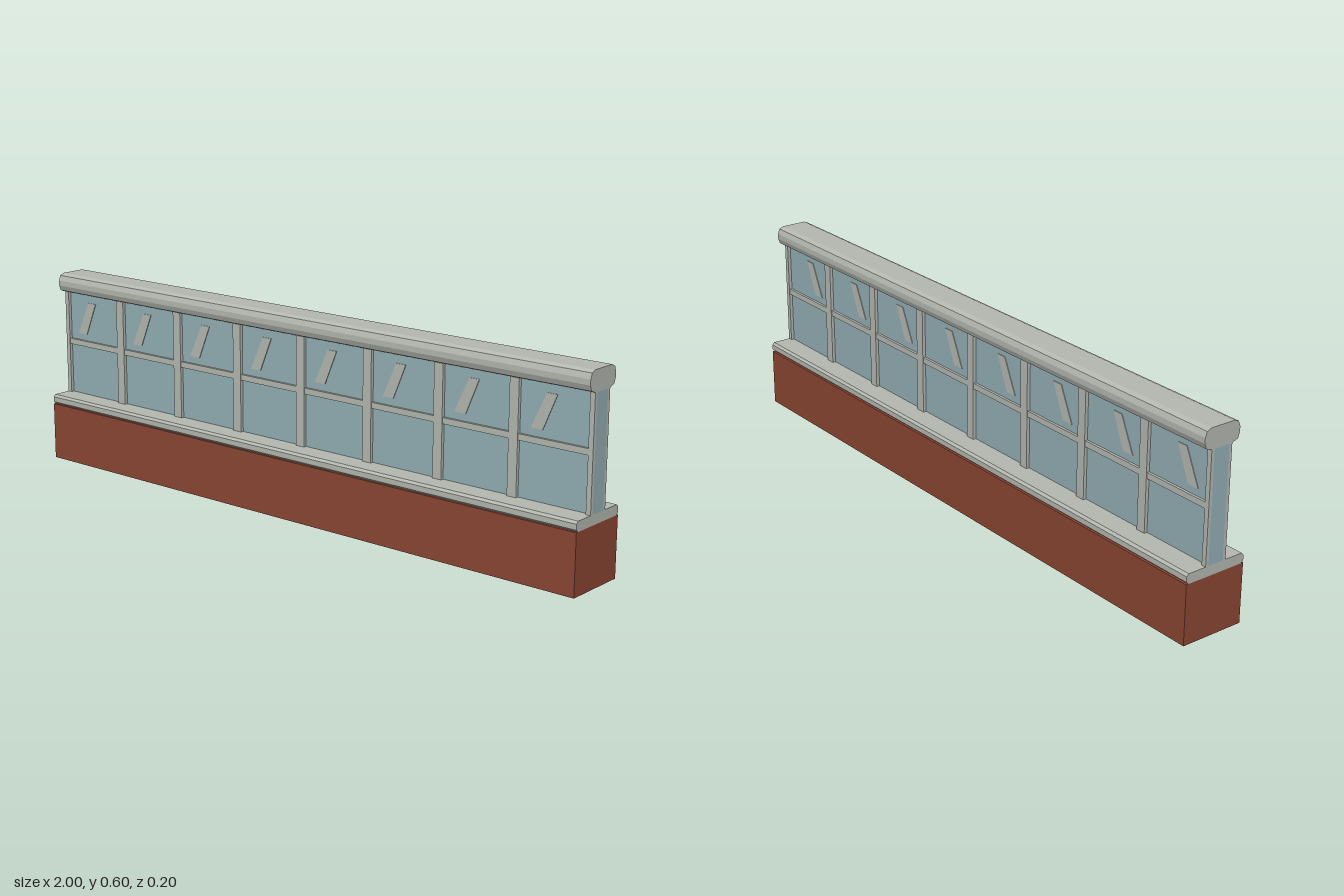
import * as THREE from 'three';

const brick = new THREE.MeshStandardMaterial({ name: 'brick red', color: 0x8a4633 });
const frame = new THREE.MeshStandardMaterial({ name: 'frame grey', color: 0xb4b8b0 });
const glass = new THREE.MeshStandardMaterial({ name: 'glass blue', color: 0x92aeb4 });

const LENGTH = 2, BAYS = 8, PITCH = LENGTH / BAYS;
const SILL_TOP = 0.21, RAIL_BOTTOM = 0.54;
const GLASS_Z = 0.025, POST_Z = 0.035, MULLION_Z = 0.033, POST_W = 0.03;

function addMesh(parent, name, geometry, material, x = 0, y = 0, z = 0) {
  const mesh = new THREE.Mesh(geometry, material);
  mesh.name = name;
  mesh.position.set(x, y, z);
  parent.add(mesh);
  return mesh;
}

// Box given by its x, y and z limits
function addBox(parent, name, material, [x0, x1], [y0, y1], [z0, z1]) {
  return addMesh(parent, name, new THREE.BoxGeometry(x1 - x0, y1 - y0, z1 - z0), material,
    (x0 + x1) / 2, (y0 + y1) / 2, (z0 + z1) / 2);
}

// Symmetric moulding: half profile of [z, y] from bottom to top, swept along x
function addMoulding(parent, name, half) {
  const mirrored = half.map(([z, y]) => [-z, y]).reverse();
  const shape = new THREE.Shape([...half, ...mirrored].map(([z, y]) => new THREE.Vector2(z, y)));
  const geometry = new THREE.ExtrudeGeometry(shape, { depth: LENGTH, bevelEnabled: false });
  geometry.translate(0, 0, -LENGTH / 2).rotateY(Math.PI / 2);
  return addMesh(parent, name, geometry, frame);
}

export function createModel() {
  const model = new THREE.Group();
  model.name = 'glazedWall';

  addBox(model, 'brickBase', brick, [-1, 1], [0, 0.18], [-0.1, 0.1]);
  addMoulding(model, 'sill', [[0.092, 0.18], [0.1, 0.187], [0.1, 0.203], [0.093, 0.21]]);
  addMoulding(model, 'topRail', [
    [0.035, 0.54], [0.054, 0.547], [0.06, 0.563], [0.06, 0.579], [0.054, 0.595], [0.04, 0.601],
  ]);
  addBox(model, 'glassPanel', glass, [-1, 1], [SILL_TOP, RAIL_BOTTOM], [-GLASS_Z, GLASS_Z]);

  // Slanted reflection on an upper pane, relative to the bay centre
  const glintShape = new THREE.Shape([
    [-0.075, 0.41], [-0.037, 0.41], [0.006, 0.513], [-0.027, 0.513],
  ].map(([x, y]) => new THREE.Vector2(x, y)));
  const glintGeometry = new THREE.ExtrudeGeometry(glintShape, { depth: 0.002, bevelEnabled: false });

  for (const side of [1, -1]) {
    const face = new THREE.Group();
    face.name = side > 0 ? 'frontFrame' : 'backFrame';
    model.add(face);
    const depth = (z) => (side > 0 ? [GLASS_Z, z] : [-z, -GLASS_Z]);

    // Posts between the bays, half width at both ends
    for (let i = 0; i <= BAYS; i++) {
      const x = -1 + i * PITCH;
      addBox(face, 'post', frame,
        [Math.max(-1, x - POST_W / 2), Math.min(1, x + POST_W / 2)],
        [SILL_TOP, RAIL_BOTTOM], depth(POST_Z));
    }

    // Crossbars and reflections in each bay
    for (let i = 0; i < BAYS; i++) {
      const x = -1 + (i + 0.5) * PITCH;
      const half = (PITCH - POST_W) / 2;
      addBox(face, 'crossbar', frame, [x - half, x + half], [0.37, 0.388], depth(MULLION_Z));
      addMesh(face, 'glint', glintGeometry, frame, x, 0, side > 0 ? GLASS_Z : -GLASS_Z - 0.002);
    }
  }
  return model;
}
